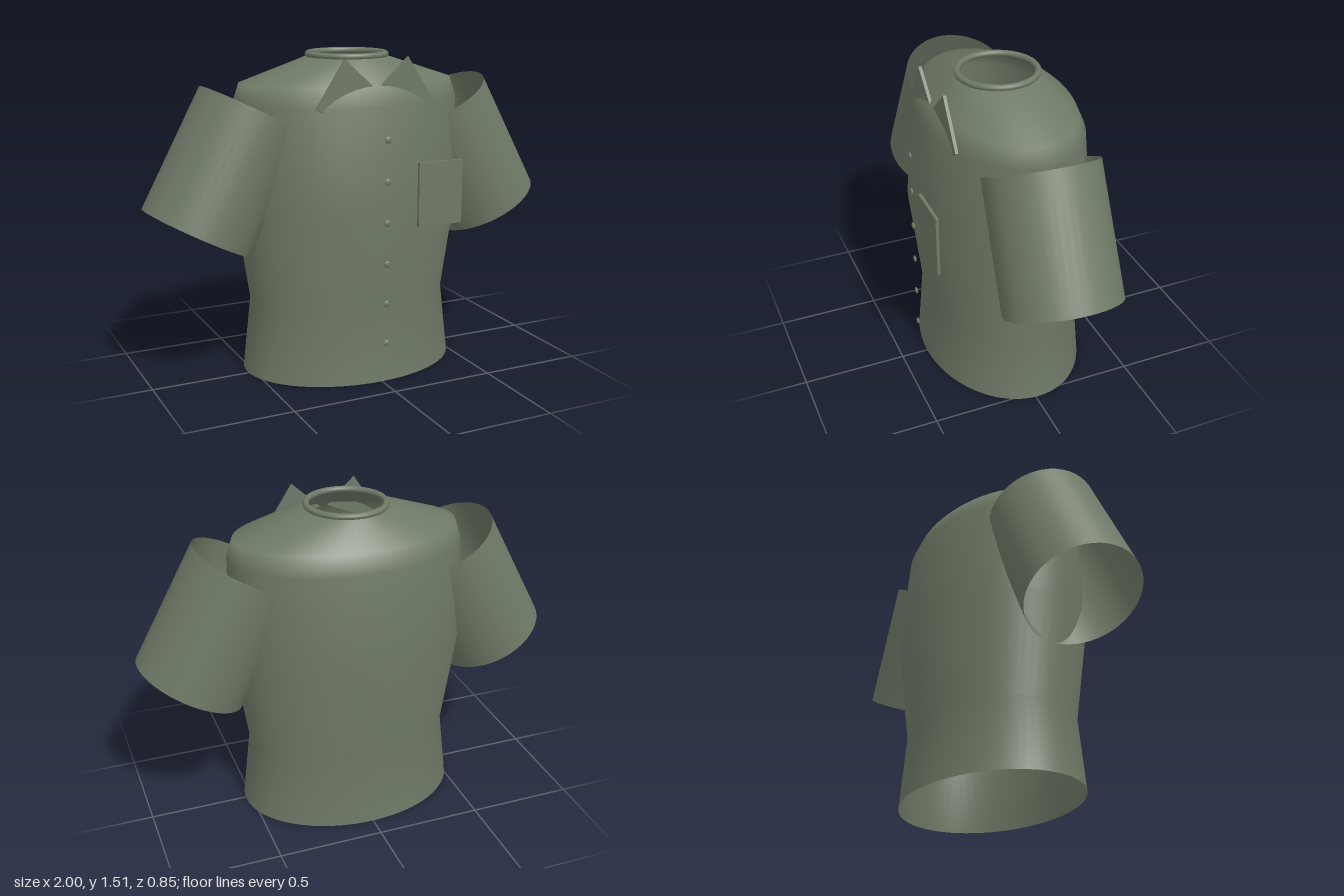
import * as THREE from 'three';
import { mergeVertices } from 'three/addons/utils/BufferGeometryUtils.js';

export function createModel() {
  const group = new THREE.Group();
  const cloth = new THREE.MeshStandardMaterial({ color: 0x6e7966, side: THREE.DoubleSide });
  cloth.name = 'olive cloth';

  const add = (name, geometry, x = 0, y = 0, z = 0) => {
    const mesh = new THREE.Mesh(geometry, cloth);
    mesh.name = name;
    mesh.position.set(x, y, z);
    group.add(mesh);
    return mesh;
  };

  // Torso: open tube of elliptical sections, [height, half width, half depth]
  const sections = [
    [1.49, 0.19, 0.195], [1.38, 0.53, 0.317], [1.295, 0.557, 0.356],
    [0.83, 0.562, 0.41], [0.345, 0.49, 0.357], [0, 0.53, 0.385],
  ];
  const sides = 64;
  let torso = new THREE.CylinderGeometry(1, 1, 1, sides, sections.length - 1, true);
  const pos = torso.attributes.position;
  for (let i = 0; i < pos.count; i++) {
    const [y, w, d] = sections[Math.floor(i / (sides + 1))];
    pos.setXYZ(i, pos.getX(i) * w, y, pos.getZ(i) * d);
  }
  torso.deleteAttribute('uv');
  torso.deleteAttribute('normal');
  torso = mergeVertices(torso);
  torso.computeVertexNormals();
  add('torso', torso, 0, 0, -0.016);

  // Neckband
  const band = new THREE.TorusGeometry(0.182, 0.015, 12, 64);
  band.rotateX(Math.PI / 2);
  add('neckband', band, 0, 1.5, -0.018);

  for (const side of [1, -1]) {
    const label = side > 0 ? 'left' : 'right';

    // Sleeve: open tube, slightly wider at the cuff
    const top = new THREE.Vector3(side * 0.479, 1.261, -0.015);
    const cuff = new THREE.Vector3(side * 0.764, 0.721, -0.003);
    const axis = top.clone().sub(cuff);
    const sleeve = add(label + 'Sleeve',
      new THREE.CylinderGeometry(0.261, 0.268, axis.length(), 48, 1, true));
    sleeve.position.copy(top).add(cuff).multiplyScalar(0.5);
    sleeve.quaternion.setFromUnitVectors(new THREE.Vector3(0, 1, 0), axis.normalize());

    // Collar flap: thin upright plate
    const flap = new THREE.Shape([[0.157, 1.505], [0.02, 1.38], [0.27, 1.275], [0.295, 1.292]]
      .map(([x, y]) => new THREE.Vector2(side * x, y)));
    add(label + 'CollarFlap',
      new THREE.ExtrudeGeometry(flap, { depth: 0.015, bevelEnabled: false }), 0, 0, 0.285);
  }

  // Chest pocket
  add('pocket', new THREE.BoxGeometry(0.225, 0.297, 0.015), 0.263, 0.893, 0.42);

  // Front buttons
  for (let i = 0; i < 6; i++) {
    const button = new THREE.SphereGeometry(0.016, 16, 12);
    button.scale(1, 1, 0.45);
    add('button' + (i + 1), button, 0, 0.205 + i * 0.19, 0.41);
  }
  return group;
}
